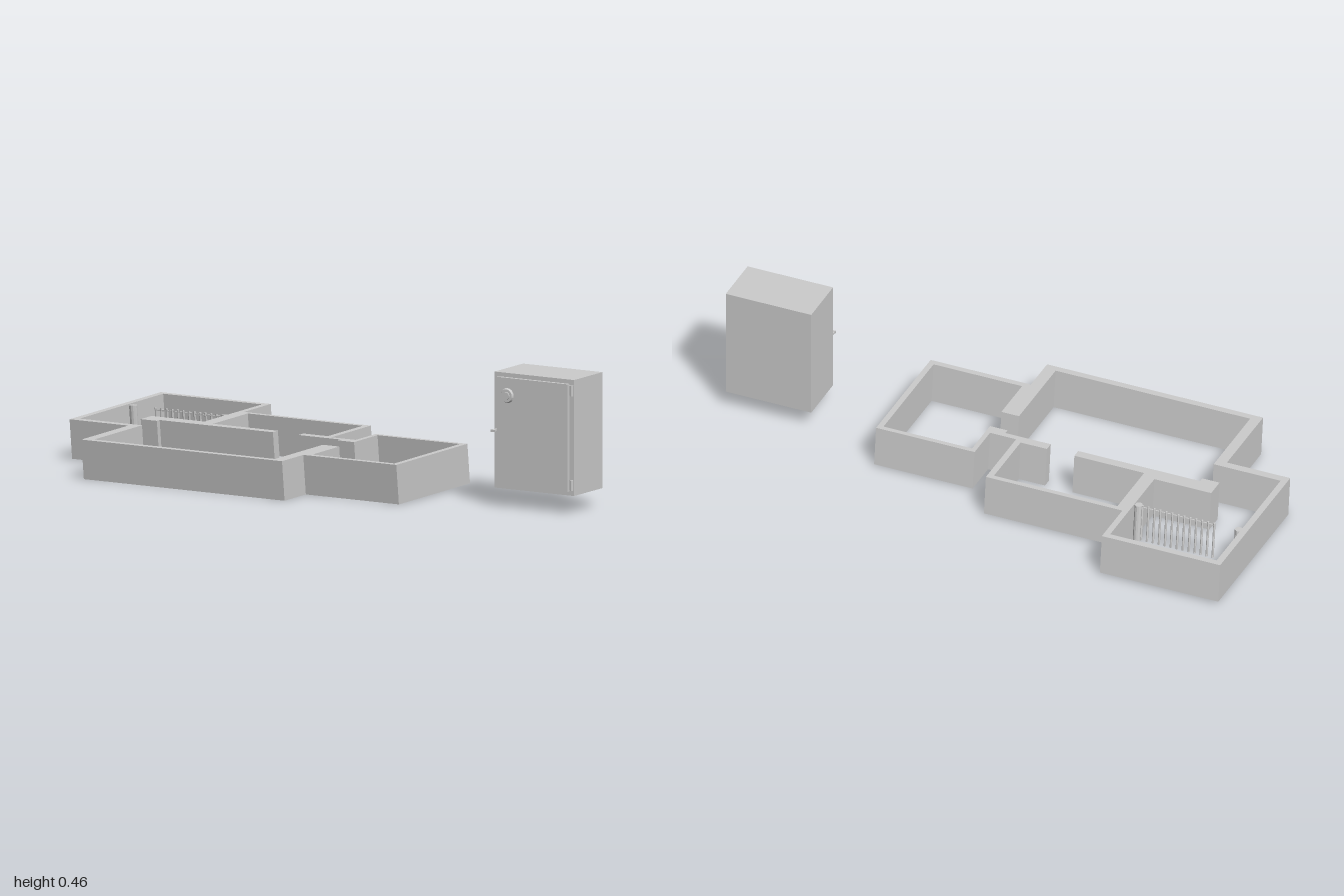
import * as THREE from 'three';

const material = new THREE.MeshStandardMaterial({ color: 0xcccccc, flatShading: true });
const smooth = new THREE.MeshStandardMaterial({ color: 0xcccccc });
const WALL_H = 0.138;

function add(parent, name, geometry, x = 0, y = 0, z = 0, mat = material) {
  const mesh = new THREE.Mesh(geometry, mat);
  mesh.name = name;
  mesh.position.set(x, y, z);
  parent.add(mesh);
  return mesh;
}

// The building leans forward slightly; wall tops lie at local y = 0
function lean(geometry) {
  const p = geometry.attributes.position;
  for (let i = 0; i < p.count; i++) {
    const z = p.getZ(i) + 0.12 * p.getY(i);
    p.setZ(i, z);
    p.setY(i, p.getY(i) + 0.142 - 0.009 * z);
  }
  geometry.computeVertexNormals();
  return geometry;
}

function createWalls() {
  const points = list => list.map(([x, z]) => new THREE.Vector2(x, z));
  // Outline around all four rooms (x, z)
  const plan = new THREE.Shape(points([
    [-1, -0.436], [-0.564, -0.436], [-0.564, -0.265], [-0.061, -0.265],
    [-0.061, -0.013], [0.035, -0.013], [0.035, -0.142], [0.398, -0.142],
    [0.398, 0.313], [0.029, 0.313], [0.029, 0.449], [-0.767, 0.449],
    [-0.767, 0.148], [-1, 0.148],
  ]));
  // Connected floor space: cell, hall, small room, side room
  plan.holes.push(new THREE.Path(points([
    [-0.977, -0.414], [-0.585, -0.414], [-0.585, -0.045], [-0.794, -0.045],
    [-0.794, 0.025], [-0.73, 0.025], [-0.73, 0.007], [-0.281, 0.007],
    [-0.281, -0.025], [-0.538, -0.025], [-0.538, -0.247], [-0.083, -0.247],
    [-0.083, -0.025], [-0.18, -0.025], [-0.18, 0.007], [-0.013, 0.007],
    [-0.013, 0.025], [0.052, 0.025], [0.052, -0.125], [0.378, -0.125],
    [0.378, 0.292], [0.052, 0.292], [0.052, 0.12], [-0.013, 0.12],
    [-0.013, 0.425], [-0.73, 0.425], [-0.73, 0.12], [-0.977, 0.12],
  ])));
  const geometry = new THREE.ExtrudeGeometry(plan, { depth: WALL_H, bevelEnabled: false });
  return lean(geometry.rotateX(Math.PI / 2));
}

function createCellBars() {
  const group = new THREE.Group();
  group.name = 'cellBars';
  const z = -0.203;
  const upright = (r, x, sides) =>
    lean(new THREE.CylinderGeometry(r, r, WALL_H - 0.008, sides).translate(x, -WALL_H / 2, z));
  for (const x of [-0.966, -0.597]) add(group, 'cellPost', upright(0.014, x, 12));
  for (let i = 0; i < 13; i++) add(group, 'bar', upright(0.004, -0.876 + i * 0.022, 6));
  add(group, 'barRail', lean(new THREE.BoxGeometry(0.28, 0.005, 0.005).translate(-0.74, -0.012, z)));
  return group;
}

function createCabinet() {
  const group = new THREE.Group();
  group.name = 'cabinet';
  add(group, 'cabinetBody', new THREE.BoxGeometry(0.315, 0.397, 0.182), 0.8405, 0.2615, 0.053);
  add(group, 'cabinetDoor', new THREE.BoxGeometry(0.281, 0.368, 0.013), 0.8405, 0.2615, 0.1505);
  // Hinges on the model's left edge
  for (const y of [0.1, 0.423]) {
    add(group, 'hingeLeaf', new THREE.BoxGeometry(0.014, 0.034, 0.006), 0.986, y, 0.147);
    add(group, 'hingePin', new THREE.CylinderGeometry(0.006, 0.006, 0.036, 10), 0.992, y, 0.15, smooth);
  }
  // Dial and latch handle
  const dial = (r, depth) => new THREE.CylinderGeometry(r * 0.85, r, depth, 24).rotateX(Math.PI / 2);
  add(group, 'dial', dial(0.026, 0.007), 0.741, 0.385, 0.16);
  add(group, 'dialKnob', dial(0.014, 0.004), 0.741, 0.385, 0.1635);
  add(group, 'handleStem', new THREE.BoxGeometry(0.006, 0.006, 0.028), 0.69, 0.262, 0.158);
  add(group, 'handleGrip', new THREE.BoxGeometry(0.017, 0.008, 0.005), 0.693, 0.262, 0.17);
  return group;
}

export function createModel() {
  const model = new THREE.Group();
  model.name = 'roomsAndCabinet';
  add(model, 'roomWalls', createWalls());
  model.add(createCellBars(), createCabinet());
  return model;
}
